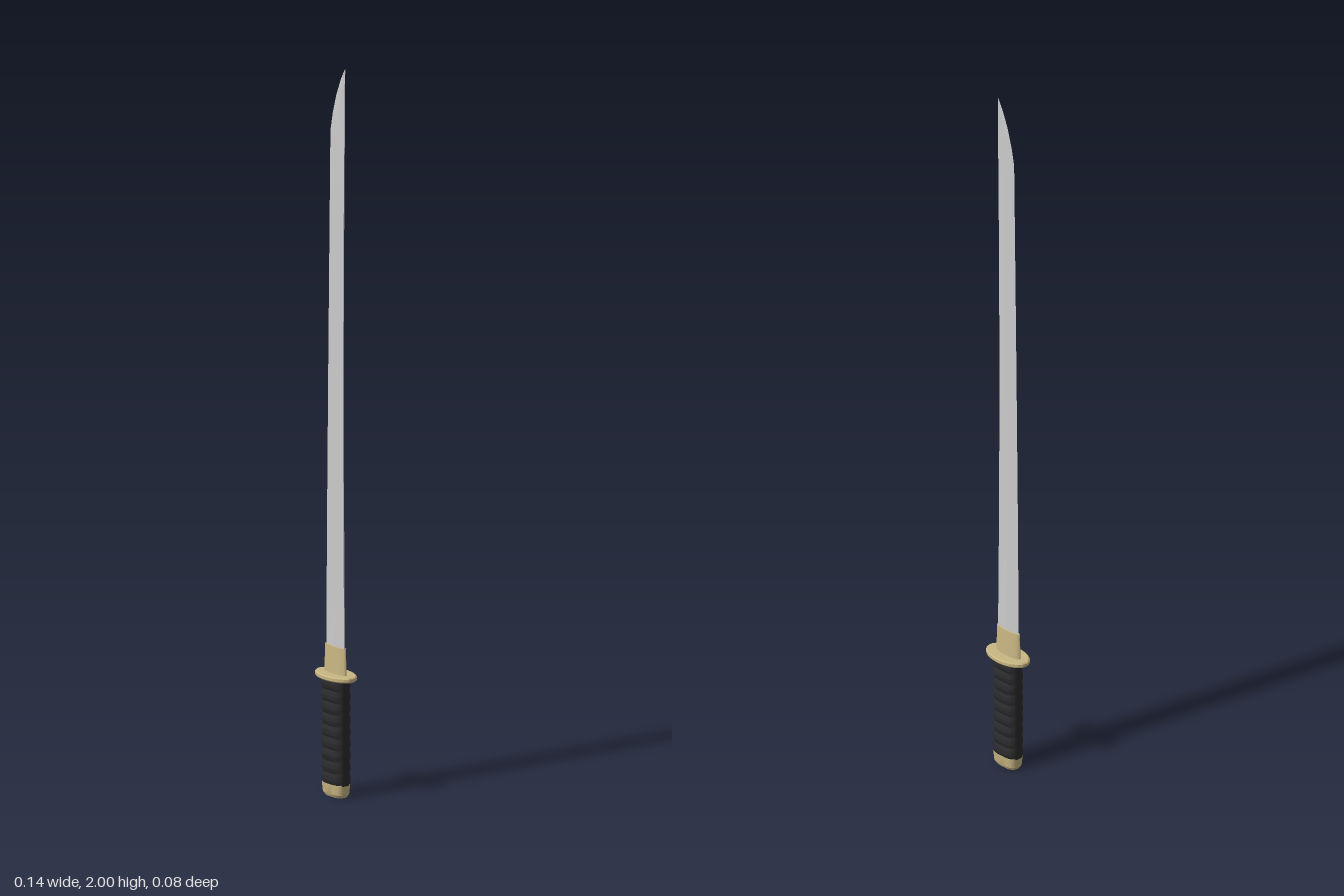
import * as THREE from 'three';
import { toCreasedNormals } from 'three/addons/utils/BufferGeometryUtils.js';

const gold = new THREE.MeshStandardMaterial({ color: 0xc9b682 });
const black = new THREE.MeshStandardMaterial({ color: 0x2b2b2d });
const steel = new THREE.MeshStandardMaterial({ color: 0xcccccc });

// Closed skin over rings of [x, y, z] points, counter-clockwise seen from above
function loft(rings, crease = 0.6) {
  const n = rings[0].length, index = [];
  for (let i = 0; i < rings.length - 1; i++) {
    for (let j = 0; j < n; j++) {
      const a = i * n + j, b = i * n + (j + 1) % n;
      index.push(a, b, b + n, a, b + n, a + n);
    }
  }
  const top = (rings.length - 1) * n;
  for (let j = 1; j < n - 1; j++) index.push(0, j + 1, j, top, top + j, top + j + 1);
  const g = new THREE.BufferGeometry();
  g.setAttribute('position', new THREE.Float32BufferAttribute(rings.flat(2), 3));
  g.setIndex(index);
  return toCreasedNormals(g, crease);
}

// Oval ring; power 1 is an ellipse, smaller values are squarer
function oval(y, rx, rz, power = 1, cx = 0, n = 40) {
  const bend = (v) => Math.sign(v) * Math.abs(v) ** power;
  return Array.from({ length: n }, (_, i) => {
    const a = (i / n) * Math.PI * 2;
    return [cx + rx * bend(Math.cos(a)), y, -rz * bend(Math.sin(a))];
  });
}

export function createModel() {
  const sword = new THREE.Group();
  sword.name = 'sword';
  const add = (name, geometry, material) => {
    const mesh = new THREE.Mesh(geometry, material);
    mesh.name = name;
    sword.add(mesh);
  };

  // Blade: [height, cutting edge x, spine x, half thickness]
  const sections = [
    [0.36, -0.042, 0.038, 0.007], [0.49, -0.041, 0.036, 0.005],
    [0.8, -0.038, 0.033, 0.0045], [1.2, -0.033, 0.032, 0.004],
    [1.55, -0.028, 0.034, 0.0035], [1.82, -0.024, 0.037, 0.003],
    [1.87, -0.014, 0.0375, 0.0028], [1.925, 0.002, 0.038, 0.0025],
    [1.97, 0.021, 0.0385, 0.002], [2.0, 0.0385, 0.039, 0.001],
  ];
  add('blade', loft(sections.map(([y, edge, spine, t]) => {
    const ridge = edge + (spine - edge) * 0.55;
    return [[spine, y, -t * 0.3], [ridge, y, -t], [edge, y, 0], [ridge, y, t], [spine, y, t * 0.3]];
  }), 0.15), steel);

  // Collar around the root of the blade
  add('bladeCollar', loft([
    oval(0.33, 0.046, 0.012, 1, -0.002), oval(0.41, 0.043, 0.009, 1, -0.002),
  ]), gold);

  // Oval hand guard with softened rim
  add('guard', loft([
    oval(0.323, 0.069, 0.039), oval(0.326, 0.072, 0.042),
    oval(0.334, 0.072, 0.042), oval(0.337, 0.069, 0.039),
  ]), gold);

  // Grip: cord wrapping bulges on the broad faces, narrow edges stay straight
  const wraps = 9, steps = 6, grip = [];
  for (let i = 0; i <= wraps * steps; i++) {
    const bulge = Math.abs(Math.sin((i / steps) * Math.PI)) ** 0.7;
    grip.push(oval(0.034 + 0.291 * i / (wraps * steps), 0.043, 0.0235 + 0.005 * bulge, 0.7));
  }
  add('wrappedGrip', loft(grip, 0.7), black);

  // Pommel cap, chamfered at the bottom
  add('pommel', loft([
    oval(0, 0.034, 0.018, 0.6), oval(0.009, 0.04, 0.023, 0.6), oval(0.036, 0.042, 0.026, 0.6),
  ], 0.4), gold);

  return sword;
}
